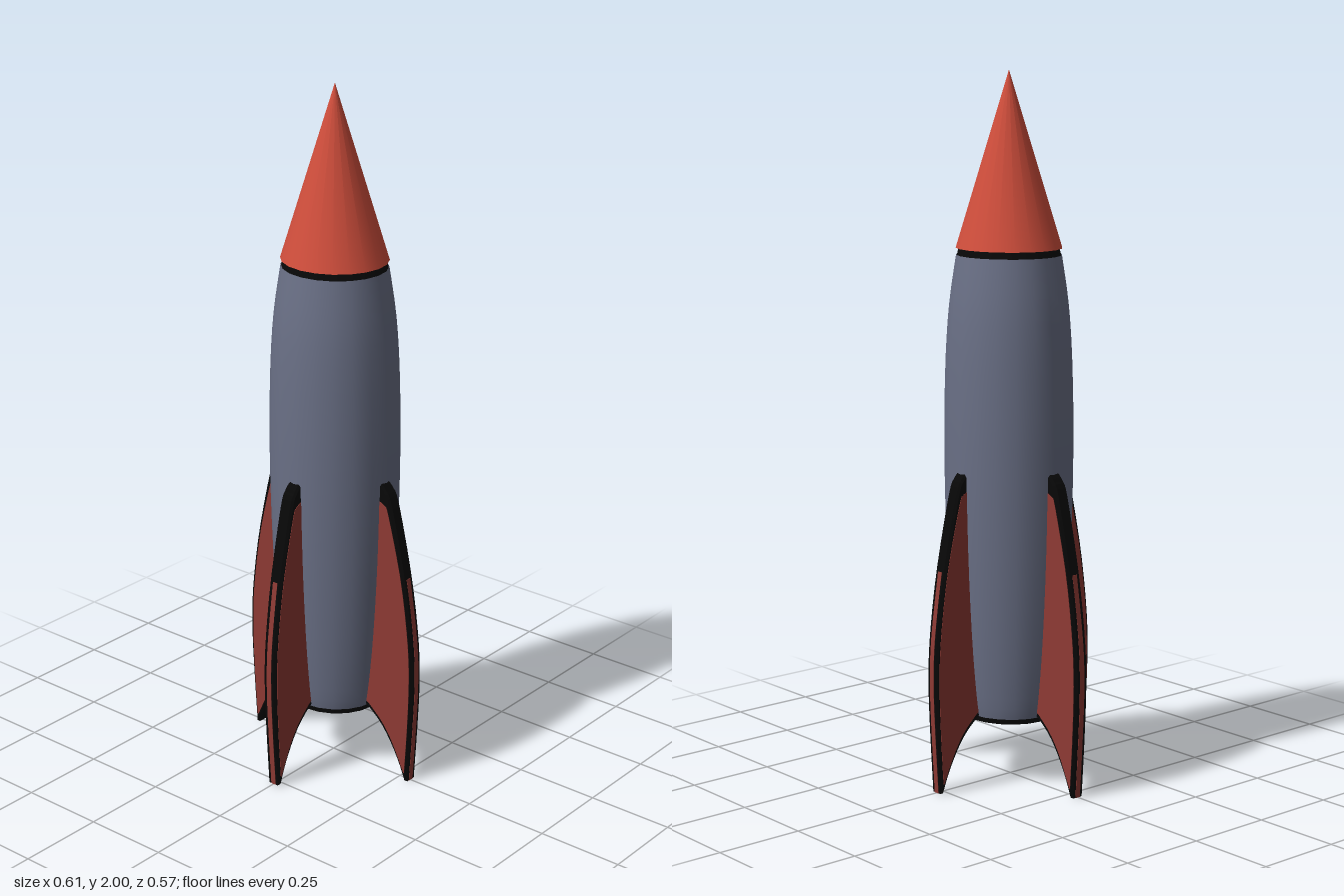
import * as THREE from 'three';

const material = (name, color, side = THREE.FrontSide) => {
  const m = new THREE.MeshStandardMaterial({ color, side });
  m.name = name;
  return m;
};
const v = ([x, y]) => new THREE.Vector2(x, y);

// Fin silhouette: outer edge runs from root top to foot, lower edge sweeps back to the hull
const OUTER = [[0.178, 0.92], [0.2, 0.9], [0.222, 0.855], [0.27, 0.645], [0.297, 0.46], [0.303, 0.33], [0.298, 0.19], [0.287, 0.012]];
const LOWER = [[0.277, 0.012], [0.255, 0.065], [0.225, 0.12], [0.188, 0.17], [0.143, 0.208]];
// Painted face: the same silhouette drawn in by a narrow margin
const FACE_OUTER = [[0.18, 0.865], [0.2, 0.855], [0.214, 0.83], [0.26, 0.645], [0.287, 0.46], [0.293, 0.33], [0.289, 0.19], [0.28, 0.04]];
const FACE_LOWER = [[0.277, 0.04], [0.259, 0.079], [0.231, 0.133], [0.195, 0.182], [0.15, 0.222]];

function finShape(outer, lower, rootBottom, rootTop) {
  const points = [
    ...new THREE.SplineCurve(outer.map(v)).getPoints(24),
    ...new THREE.SplineCurve(lower.map(v)).getPoints(10),
    v(rootBottom), v(rootTop),
  ];
  return new THREE.Shape(points.reverse());
}

// Extrude centred on z = 0
function plate(shape, thickness, bevel = 0) {
  const geometry = new THREE.ExtrudeGeometry(shape, {
    depth: thickness - 2 * bevel, bevelEnabled: bevel > 0, bevelSize: bevel,
    bevelThickness: bevel, bevelOffset: -bevel, bevelSegments: 1,
  });
  return geometry.translate(0, 0, -thickness / 2 + bevel);
}

export function createModel() {
  const rocket = new THREE.Group();
  rocket.name = 'rocket';
  const hullGrey = material('hull grey', 0x6a7086, THREE.DoubleSide);
  const noseRed = material('nose red', 0xd04e3c);
  const finRed = material('fin red', 0x8e3a34);
  const black = material('black trim', 0x080808);

  const add = (parent, name, geometry, mat) => {
    const mesh = new THREE.Mesh(geometry, mat);
    mesh.name = name;
    parent.add(mesh);
    return mesh;
  };

  // Fuselage, slightly narrower front to back
  const fuselage = new THREE.Group();
  fuselage.name = 'fuselage';
  fuselage.scale.z = 0.945;
  fuselage.position.z = -0.005;
  rocket.add(fuselage);

  const profile = [[0.14, 0.197], [0.15, 0.25], [0.166, 0.4], [0.179, 0.6], [0.186, 0.8], [0.188, 0.98],
    [0.186, 1.12], [0.181, 1.25], [0.171, 1.37], [0.152, 1.495]];
  const hull = new THREE.SplineCurve(profile.map(v)).getPoints(24);
  add(fuselage, 'hull', new THREE.LatheGeometry(hull, 20), hullGrey);

  // Black base and the collar below the nose
  add(fuselage, 'base', new THREE.CylinderGeometry(0.142, 0.139, 0.014, 20).translate(0, 0.193, 0), black);
  add(fuselage, 'collar', new THREE.CylinderGeometry(0.145, 0.15, 0.022, 20).translate(0, 1.503, 0), black);

  // Nose cone with a dark underside
  add(fuselage, 'noseCone', new THREE.ConeGeometry(0.153, 0.486, 20, 1, true).translate(0, 1.757, 0), noseRed);
  add(fuselage, 'noseUnderside', new THREE.CircleGeometry(0.153, 20).rotateX(Math.PI / 2).translate(0, 1.513, 0), black);

  // Fin parts: black rim, painted faces and a narrow painted strip along the outer edge
  const rim = plate(finShape(OUTER, LOWER, [0.12, 0.22], [0.15, 0.9]), 0.043, 0.006);
  const face = plate(finShape(FACE_OUTER, FACE_LOWER, [0.13, 0.235], [0.155, 0.855]), 0.0455);
  const edge = new THREE.SplineCurve(OUTER.slice(3).map(v)).getPoints(16);
  const stripPoints = [
    ...edge.map((p) => new THREE.Vector2(p.x + 0.0012, p.y)).reverse(),
    ...edge.map((p) => new THREE.Vector2(p.x - 0.006, p.y)),
  ];
  const strip = plate(new THREE.Shape(stripPoints), 0.016);

  // Four fins around the hull
  for (let i = 0; i < 4; i++) {
    const fin = new THREE.Group();
    fin.name = ['leftFin', 'backFin', 'rightFin', 'frontFin'][i];
    add(fin, 'finRim', rim, black);
    add(fin, 'finFaces', face, finRed);
    add(fin, 'finEdgeStrip', strip, finRed);
    fin.rotation.y = (i * Math.PI) / 2;
    fin.scale.x = i % 2 ? 0.945 : 1;
    fin.position.set(0, -0.012, -0.001);
    rocket.add(fin);
  }
  return rocket;
}
